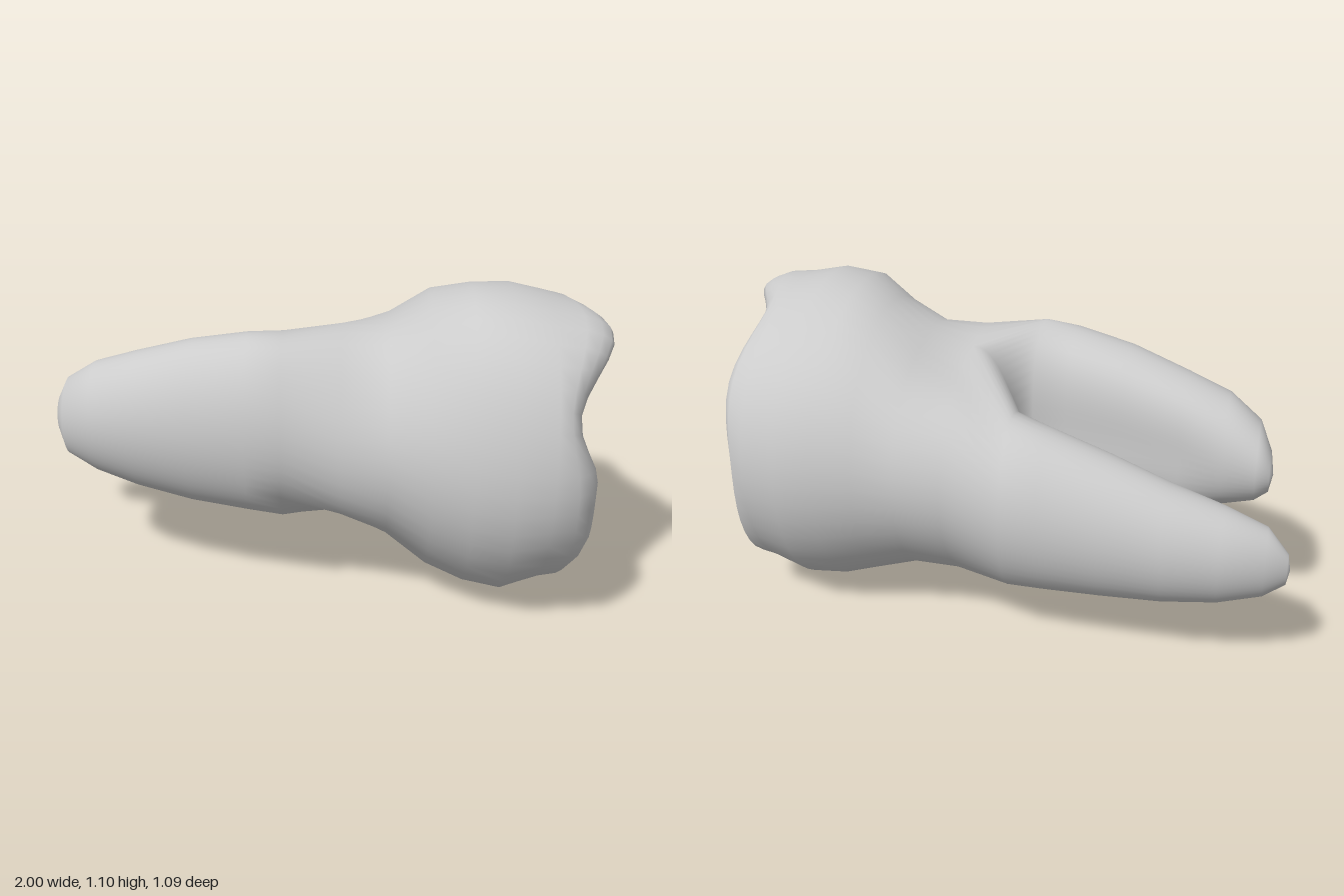
import * as THREE from 'three';
import { mergeVertices } from 'three/addons/utils/BufferGeometryUtils.js';

const N = 48; // points per ring
const angles = Array.from({ length: N }, (_, j) => (j / N) * Math.PI * 2);
const lerp = THREE.MathUtils.lerp;

// Gaussian bump around an angle in degrees
function bump(a, deg, width) {
  let d = Math.abs(THREE.MathUtils.radToDeg(a) - deg) % 360;
  if (d > 180) d = 360 - d;
  return Math.exp(-((d / width) ** 2));
}

// Cross-section across x; angle 0 is +z, 90 degrees is +y
function ring([x, cy, cz, ry, rz], shape = () => 1) {
  return angles.map((a) => {
    const k = shape(a);
    return new THREE.Vector3(x, cy + ry * k * Math.sin(a), cz + rz * k * Math.cos(a));
  });
}

const pointRing = (x, y, z) => angles.map(() => new THREE.Vector3(x, y, z));

// Skin a list of rings ordered from -x to +x
function loft(rings, out) {
  for (let i = 0; i < rings.length - 1; i++) {
    for (let j = 0; j < N; j++) {
      const k = (j + 1) % N;
      const a = rings[i][j], b = rings[i][k], c = rings[i + 1][j], d = rings[i + 1][k];
      for (const p of [a, c, b, b, c, d]) out.push(p.x, p.y, p.z);
    }
  }
}

// Height of the chewing rim: [degrees, x] at cusps and grooves
const rim = [[0, 0.95], [28, 0.88], [65, 1.0], [107, 0.87], [145, 0.91], [180, 0.88],
  [235, 0.92], [280, 0.88], [330, 0.955], [360, 0.95]];
function rimX(a) {
  const deg = THREE.MathUtils.radToDeg(a);
  const i = rim.findIndex((r, n) => n < rim.length - 1 && deg < rim[n + 1][0]);
  const t = (deg - rim[i][0]) / (rim[i + 1][0] - rim[i][0]);
  return lerp(rim[i][1], rim[i + 1][1], t * t * (3 - 2 * t));
}

// Two-lobed outline of the neck, fading out toward the crown
const lobes = (s) => (a) => 1 + s * (0.08 * bump(a, 62, 22) - 0.16 * bump(a, 110, 28)
  + 0.07 * bump(a, 246, 20) - 0.28 * bump(a, 295, 27));

// Shallow groove down the inner face of a root
const grooved = (deg) => (a) => 1 - 0.1 * bump(a, deg, 25)
  + 0.06 * (bump(a, deg - 45, 22) + bump(a, deg + 45, 22));

// Crown outline, and the cusps leaning inward around the basin
const crown = (a) => 1 + 0.08 * bump(a, 53, 28) - 0.04 * bump(a, 115, 25);
const crownEdge = (a) => crown(a) - 0.03 * bump(a, 282, 45) - 0.02 * bump(a, 180, 35);
const cuspInset = (a) => 0.2 * bump(a, 180, 50) + 0.16 * bump(a, 270, 50)
  + 0.12 * bump(a, 350, 40);

export function createModel() {
  const positions = [];

  // Neck and crown wall
  const neck = ring([0.12, 0.56, -0.07, 0.4, 0.445], lobes(1));
  const wall = [
    [0.42, 0.56, -0.035, 0.49, 0.487],
    [0.55, 0.557, -0.015, 0.535, 0.527],
    [0.68, 0.553, 0, 0.548, 0.545],
  ].map((s) => ring(s, s[0] > 0.5 ? crown : undefined));
  const shoulder = ring([0.28, 0.555, -0.06, 0.42, 0.45], lobes(0.3));
  const edge = ring([0.8, 0.56, 0.005, 0.515, 0.54], crownEdge);

  // Chewing surface: [scale, share of rim height, share of basin, share of inset]
  const chewing = [
    [0.98, 0.5, 0, 0], [0.94, 0.78, 0, 0.2], [0.9, 0.94, 0, 0.55], [0.86, 1, 0, 0.9],
    [0.78, 1, 0.08, 1], [0.66, 1, 0.3, 1], [0.5, 1, 0.64, 1], [0.32, 1, 0.9, 1], [0.14, 1, 1, 1],
  ].map(([t, rise, w, inset]) => {
    const section = ring([0, 0.56 + 0.1 * w, 0.005 + 0.05 * w, 0.515 * t, 0.54 * t],
      (a) => crownEdge(a) - inset * cuspInset(a));
    section.forEach((p, j) => { p.x = lerp(lerp(0.8, rimX(angles[j]), rise), 0.75, w); });
    return section;
  });
  loft([neck, shoulder, ...wall, edge, ...chewing, pointRing(0.748, 0.66, 0.055)], positions);

  // Each root starts from half the neck, closed by a shared arch between the roots
  const top = neck[N / 4], bottom = neck[(3 * N) / 4];
  function rootStart(side) {
    return neck.map((p, j) => {
      const c = Math.cos(angles[j]);
      if (c * side >= -1e-6) return p;
      const q = bottom.clone().lerp(top, (Math.sin(angles[j]) + 1) / 2);
      q.x -= 0.15 * Math.abs(c);
      return q;
    });
  }

  // Front root, tip first: [x, cy, cz, ry, rz]
  const frontRoot = [
    [-0.905, 0.57, -0.065, 0.07, 0.065],
    [-0.86, 0.585, -0.015, 0.14, 0.127],
    [-0.75, 0.6, 0.025, 0.2, 0.163],
    [-0.6, 0.605, 0.06, 0.245, 0.18],
    [-0.4, 0.62, 0.105, 0.292, 0.195],
    [-0.2, 0.631, 0.14, 0.32, 0.2],
    [-0.08, 0.631, 0.155, 0.33, 0.205],
  ].map((s) => ring(s, s[0] > -0.7 ? grooved(180) : undefined));
  loft([pointRing(-0.917, 0.565, -0.075), ...frontRoot, rootStart(1)], positions);

  // Back root, tip first
  const backRoot = [
    [-0.99, 0.383, -0.378, 0.055, 0.025],
    [-0.92, 0.395, -0.367, 0.12, 0.08],
    [-0.78, 0.405, -0.37, 0.165, 0.126],
    [-0.6, 0.423, -0.367, 0.205, 0.153],
    [-0.4, 0.45, -0.35, 0.248, 0.176],
    [-0.2, 0.475, -0.333, 0.285, 0.195],
    [-0.08, 0.488, -0.315, 0.307, 0.207],
  ].map((s) => ring(s));
  loft([pointRing(-1, 0.383, -0.38), ...backRoot, rootStart(-1)], positions);

  // Weld everything into one smooth skin
  let geometry = new THREE.BufferGeometry();
  geometry.setAttribute('position', new THREE.Float32BufferAttribute(positions, 3));
  geometry = mergeVertices(geometry, 1e-4);
  geometry.computeVertexNormals();

  const tooth = new THREE.Mesh(geometry, new THREE.MeshStandardMaterial({ color: 0xcccccc }));
  tooth.name = 'molarTooth';
  const group = new THREE.Group();
  group.name = 'molar';
  group.add(tooth);
  return group;
}
